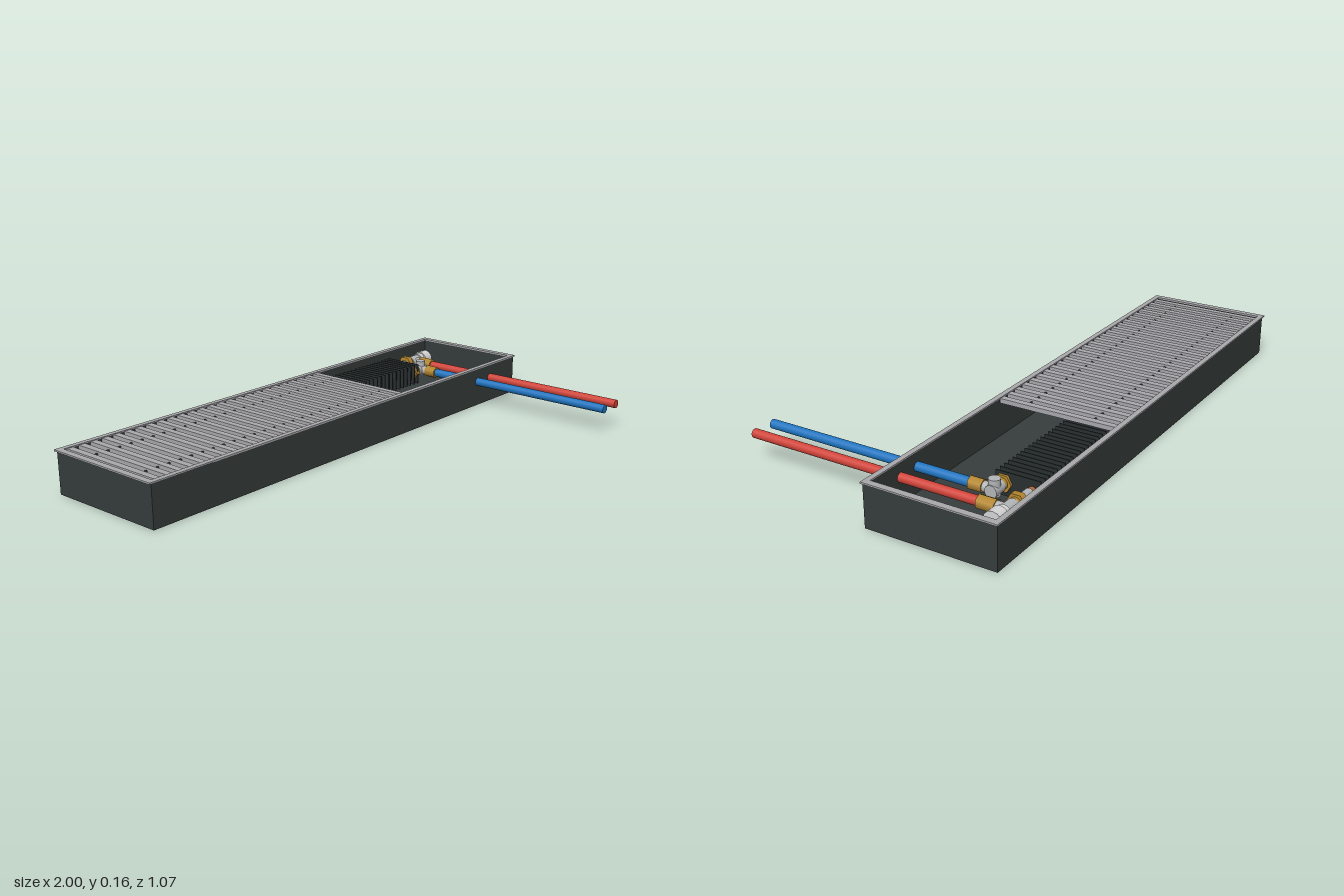
import * as THREE from 'three';

export function createModel() {
  const model = new THREE.Group();
  const mat = (name, color) => {
    const m = new THREE.MeshStandardMaterial({ color });
    m.name = name;
    return m;
  };
  const casing = mat('casing charcoal', 0x363d3c);
  const finDark = mat('fin dark grey', 0x292f2f);
  const alu = mat('aluminium', 0xa9a9ad);
  const copper = mat('copper', 0xb8683f);
  const brass = mat('brass', 0xb98a2e);
  const chrome = mat('chrome', 0xb4b6b8);
  const white = mat('valve head white', 0xd6d6d6);
  const red = mat('supply red', 0xd0443a);
  const blue = mat('return blue', 0x1f75c0);

  const add = (name, geo, material, parent = model) => {
    const mesh = new THREE.Mesh(geo, material);
    mesh.name = name;
    parent.add(mesh);
    return mesh;
  };
  const group = (name) => {
    const g = new THREE.Group();
    g.name = name;
    model.add(g);
    return g;
  };
  // Box given by its limits on each axis
  const box = (name, m, x0, x1, y0, y1, z0, z1, parent) => {
    const b = add(name, new THREE.BoxGeometry(x1 - x0, y1 - y0, z1 - z0), m, parent);
    b.position.set((x0 + x1) / 2, (y0 + y1) / 2, (z0 + z1) / 2);
    return b;
  };
  // Cylinder along one axis from a to b
  const rod = (name, m, axis, r, a, b, x, y, z, parent, sides = 20) => {
    const c = add(name, new THREE.CylinderGeometry(r, r, b - a, sides), m, parent);
    c.position.set(x, y, z);
    c.position[axis] = (a + b) / 2;
    if (axis === 'x') c.rotation.z = -Math.PI / 2;
    if (axis === 'z') c.rotation.x = Math.PI / 2;
    return c;
  };

  // Open trough
  const tray = group('trough');
  const X = 0.992, ZB = -0.531, ZF = -0.056, T = 0.01, H = 0.154;
  box('floor', casing, -X, X, 0, T, ZB, ZF, tray);
  box('backWall', casing, -X, X, T, H, ZB, ZB + T, tray);
  box('frontWall', casing, -X, X, T, H, ZF - T, ZF, tray);
  for (const s of [-1, 1]) {
    const e = s * (X - T / 2);
    box('endWall', casing, e - T / 2, e + T / 2, T, H, ZB + T, ZF - T, tray);
  }

  // Rim frame around the opening
  const rim = new THREE.Shape();
  rim.moveTo(-1, 0.053).lineTo(1, 0.053).lineTo(1, 0.537).lineTo(-1, 0.537).closePath();
  const hole = new THREE.Path();
  hole.moveTo(-0.976, 0.073).lineTo(-0.976, 0.517).lineTo(0.976, 0.517).lineTo(0.976, 0.073).closePath();
  rim.holes.push(hole);
  const rimMesh = add('rimFrame', new THREE.ExtrudeGeometry(rim, { depth: 0.006, bevelEnabled: false }), alu);
  rimMesh.rotation.x = -Math.PI / 2;
  rimMesh.position.y = H;

  // Roll-up grille, covering the left part
  const grille = group('grille');
  for (let i = 0; i < 26; i++) {
    const x = -0.95 + i * 0.048;
    box('slat', alu, x - 0.0125, x + 0.0125, 0.14, 0.157, -0.519, -0.071, grille);
  }
  for (const z of [-0.42, -0.17]) rod('grilleRod', finDark, 'x', 0.004, -0.95, 0.25, 0, 0.147, z, grille, 8);

  // Finned copper heat exchanger
  const exchanger = group('heatExchanger');
  const Y = 0.1, Z1 = -0.457, Z2 = -0.355, zm = (Z1 + Z2) / 2, rb = (Z2 - Z1) / 2;
  rod('upperTube', copper, 'x', 0.014, -0.866, 0.77, 0, Y, Z1, exchanger);
  rod('lowerTube', copper, 'x', 0.014, -0.866, 0.7, 0, Y, Z2, exchanger);
  const bend = add('returnBend', new THREE.TorusGeometry(rb, 0.014, 14, 20, Math.PI), copper, exchanger);
  bend.rotation.set(Math.PI / 2, 0, Math.PI / 2);
  bend.position.set(-0.866, Y, zm);
  for (let i = 0; i < 64; i++) {
    const x = -0.85 + i * 0.0243;
    box('fin', finDark, x - 0.002, x + 0.002, 0.055, 0.137, -0.487, -0.325, exchanger);
  }
  for (const x of [-0.5, 0.16]) {
    box('bracketTop', finDark, x - 0.025, x + 0.025, 0.134, 0.139, -0.492, -0.32, exchanger);
    for (const z of [-0.492, -0.324]) box('bracketLeg', finDark, x - 0.025, x + 0.025, T, 0.135, z, z + 0.004, exchanger);
  }

  // Return valve and blue pipe
  const ret = group('returnValve');
  const xr = 0.735;
  rod('unionNut', brass, 'x', 0.032, 0.668, 0.692, 0, Y, Z2, ret, 6);
  rod('unionNeck', brass, 'x', 0.02, 0.692, 0.715, 0, Y, Z2, ret);
  rod('valveBody', chrome, 'x', 0.022, 0.705, 0.758, 0, Y, Z2, ret);
  rod('valveStem', chrome, 'y', 0.02, 0.08, 0.138, xr, 0, Z2, ret);
  rod('valveNeck', chrome, 'z', 0.018, -0.355, -0.31, xr, Y, 0, ret);
  rod('pipeNut', brass, 'z', 0.024, -0.318, -0.268, xr, Y, 0, ret, 6);
  rod('returnPipe', blue, 'z', 0.0165, -0.29, 0.537, xr, Y, 0, ret, 24);

  // Thermostatic supply valve and red pipe
  const sup = group('supplyValve');
  const xs = 0.822;
  rod('unionSleeve', chrome, 'x', 0.017, 0.7, 0.76, 0, Y, Z1, sup);
  rod('unionNut', brass, 'x', 0.034, 0.755, 0.778, 0, Y, Z1, sup, 6);
  rod('unionNeck', brass, 'x', 0.022, 0.778, 0.8, 0, Y, Z1, sup);
  rod('valveBody', chrome, 'x', 0.024, 0.79, 0.85, 0, Y, Z1, sup);
  rod('headCollar', white, 'x', 0.028, 0.842, 0.865, 0, Y, Z1, sup);
  rod('thermostatHead', white, 'x', 0.034, 0.862, 0.904, 0, Y, Z1, sup, 12);
  rod('valveNeck', chrome, 'z', 0.019, -0.457, -0.41, xs, Y, 0, sup);
  rod('pipeNut', brass, 'z', 0.025, -0.42, -0.357, xs, Y, 0, sup, 6);
  rod('supplyPipe', red, 'z', 0.0165, -0.38, 0.537, xs, Y, 0, sup, 24);

  return model;
}
